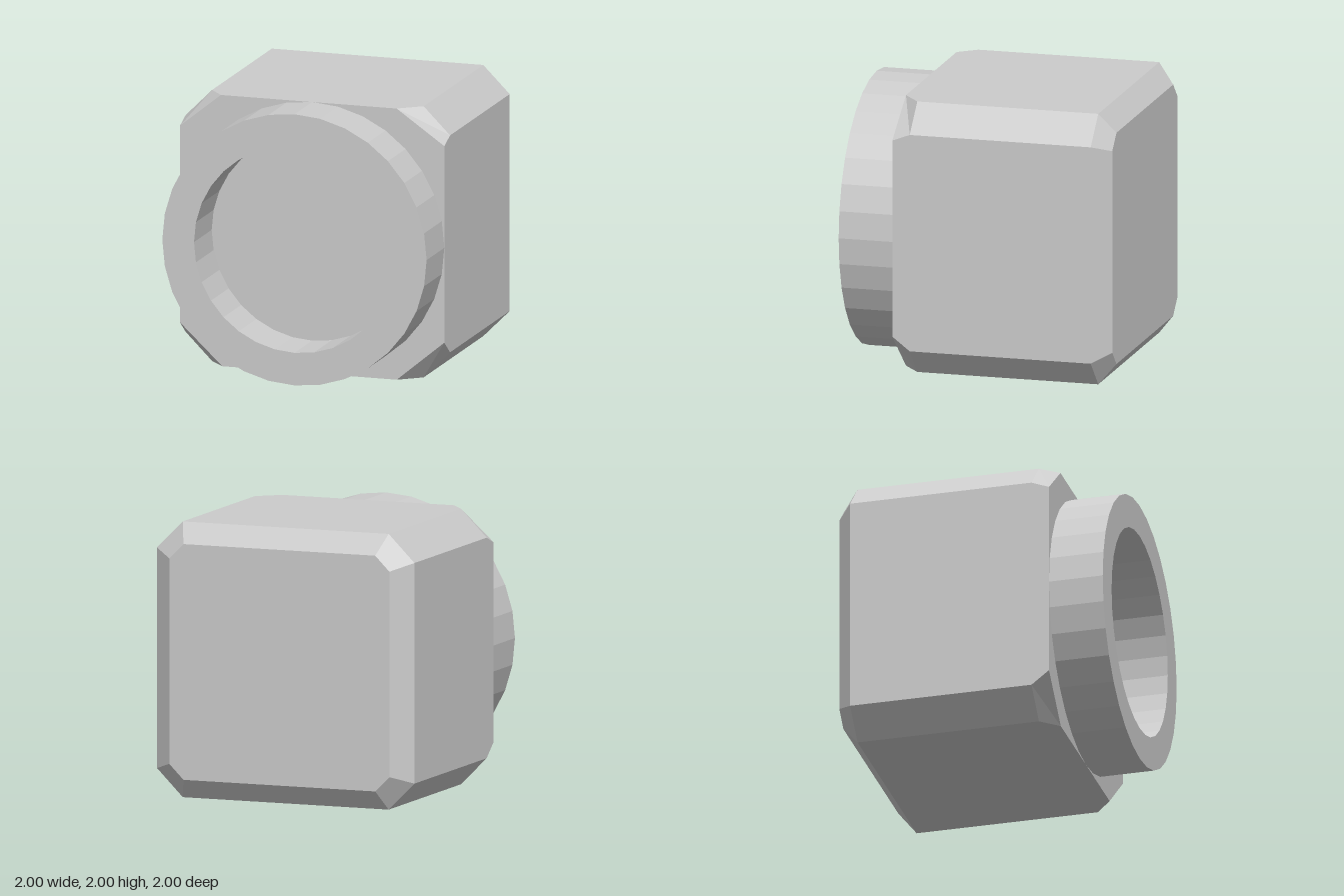
import * as THREE from 'three';

const material = new THREE.MeshStandardMaterial({ color: 0xcccccc, flatShading: true });

// Eight-cornered cross-section, counter-clockwise seen from +z.
// s: half size; tops/bottoms give where each corner cut meets the edges.
function section(z, s, topL, topR, top, botL, botR, bottom) {
  return [
    [s, bottom], [s, top], [topR, 1 + s], [-topL, 1 + s],
    [-s, top], [-s, bottom], [-botL, 1 - s], [botR, 1 - s],
  ].map(([x, y]) => new THREE.Vector3(x, y, z));
}

// Skin a list of sections from back to front and cap both ends
function loft(sections) {
  const pos = [];
  const tri = (...pts) => pts.forEach((p) => pos.push(p.x, p.y, p.z));
  const n = sections[0].length;
  for (let k = 0; k < sections.length - 1; k++) {
    const a = sections[k], b = sections[k + 1];
    for (let i = 0; i < n; i++) {
      const j = (i + 1) % n;
      tri(a[i], a[j], b[j]);
      tri(a[i], b[j], b[i]);
    }
  }
  const back = sections[0], front = sections[sections.length - 1];
  for (let i = 1; i < n - 1; i++) {
    tri(back[0], back[i + 1], back[i]);
    tri(front[0], front[i], front[i + 1]);
  }
  const geometry = new THREE.BufferGeometry();
  geometry.setAttribute('position', new THREE.Float32BufferAttribute(pos, 3));
  geometry.computeVertexNormals();
  return geometry;
}

export function createModel() {
  const model = new THREE.Group();

  // Block with bevelled long edges, bevelled back and cut front corners
  const body = new THREE.Mesh(loft([
    section(-1, 0.855, 0.745, 0.745, 1.745, 0.745, 0.745, 0.255),
    section(-0.88, 1, 0.8, 0.8, 1.8, 0.8, 0.8, 0.2),
    section(0.47, 1, 0.8, 0.8, 1.8, 0.8, 0.8, 0.2),
    section(0.6, 1, 0.69, 0.64, 1.75, 0.68, 0.64, 0.3),
  ]), material);
  body.name = 'body';
  model.add(body);

  // Open collar on the front: outer wall, rim and inner wall
  const profile = [[1, 0], [1, 0.4], [0.76, 0.4], [0.76, 0]]
    .map(([r, h]) => new THREE.Vector2(r, h));
  const collarGeometry = new THREE.LatheGeometry(profile, 32);
  collarGeometry.rotateX(Math.PI / 2);
  const collar = new THREE.Mesh(collarGeometry, material);
  collar.name = 'frontCollar';
  collar.position.set(0, 1, 0.6);
  model.add(collar);

  return model;
}
